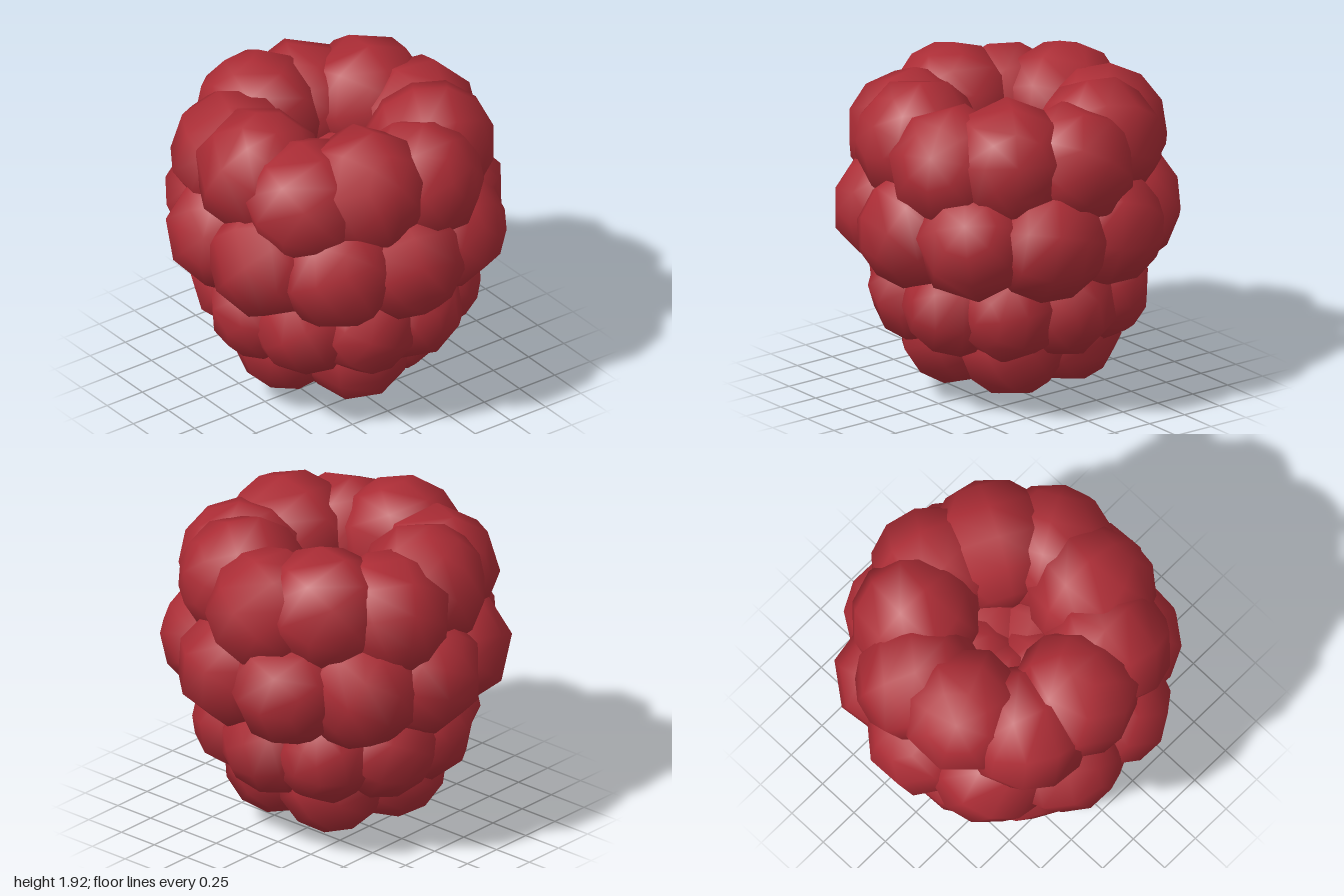
import * as THREE from 'three';

export function createModel() {
  const berry = new THREE.Group();
  berry.name = 'berry';

  const red = new THREE.MeshStandardMaterial({ color: 0xab2c35 });
  red.name = 'berry red';

  // small seeded generator for the turn of each drupelet
  let seed = 7;
  const turn = () => {
    seed = (seed * 16807) % 2147483647;
    return (seed / 2147483647) * Math.PI * 2;
  };

  // one coarse smooth bead, shared by every drupelet
  const bead = new THREE.SphereGeometry(1, 8, 6);

  // rings from top to bottom: first = angle from +x towards +z, in degrees
  const rings = [
    { name: 'crownDrupelet', count: 5, first: 37, y: 1.54, ring: 0.535, r: 0.38 },
    { name: 'shoulderDrupelet', count: 5, first: -1, y: 1.49, ring: 0.575, r: 0.375 },
    { name: 'middleDrupelet', count: 10, first: 18, y: 1.1, ring: 0.65, r: 0.36 },
    { name: 'lowerDrupelet', count: 10, first: 0, y: 0.655, ring: 0.52, r: 0.315 },
    { name: 'baseDrupelet', count: 5, first: 35, y: 0.39, ring: 0.345, r: 0.315 },
    { name: 'innerDrupelet', count: 5, first: 20, y: 1.18, ring: 0.2, r: 0.3 },
  ];

  for (const { name, count, first, y, ring, r } of rings) {
    for (let i = 0; i < count; i++) {
      const a = THREE.MathUtils.degToRad(first + (360 / count) * i);
      const mesh = new THREE.Mesh(bead, red);
      mesh.name = name;
      mesh.position.set(Math.cos(a) * ring, y, Math.sin(a) * ring);
      mesh.rotation.set(turn(), turn(), turn());
      mesh.scale.setScalar(r);
      berry.add(mesh);
    }
  }

  // tip drupelet resting on a flat facet
  const tip = new THREE.Mesh(bead, red);
  tip.name = 'tipDrupelet';
  tip.rotation.set(0, -Math.PI / 8, THREE.MathUtils.degToRad(104), 'ZYX');
  tip.scale.setScalar(0.32);
  tip.position.y = 0.287;
  berry.add(tip);

  // closed core behind the drupelets
  const core = new THREE.Mesh(new THREE.SphereGeometry(0.45, 16, 12), red);
  core.name = 'core';
  core.scale.y = 1.15;
  core.position.y = 0.8;
  berry.add(core);

  return berry;
}
